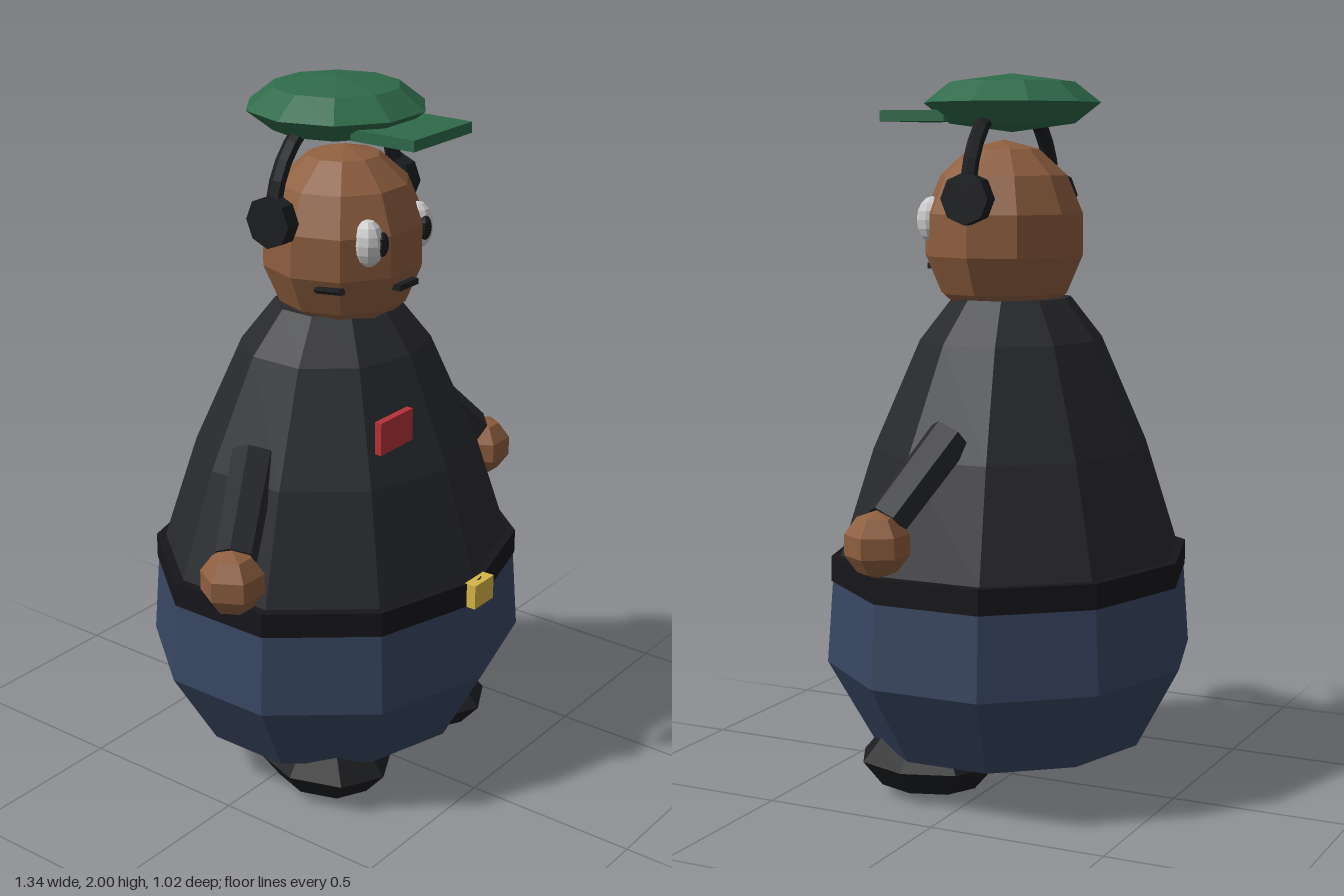
import * as THREE from 'three';

const COLORS = {
  green: 0x2f6b4a, skin: 0x8f5f40, shirt: 0x28292d, pants: 0x384661, belt: 0x17171b,
  black: 0x1c1d20, gold: 0xd8b548, red: 0xb5323a, white: 0xe8e8e8,
};
const materials = {};
for (const [key, color] of Object.entries(COLORS)) {
  materials[key] = new THREE.MeshStandardMaterial({ color, flatShading: true });
}

export function createModel() {
  const model = new THREE.Group();

  const add = (name, geometry, color, position = [0, 0, 0]) => {
    const mesh = new THREE.Mesh(geometry, materials[color]);
    mesh.name = name;
    mesh.position.set(...position);
    model.add(mesh);
    return mesh;
  };
  const box = (name, color, size, position) =>
    add(name, new THREE.BoxGeometry(...size), color, position);
  const ball = (name, color, radii, position, w, h) =>
    add(name, new THREE.SphereGeometry(1, w, h).scale(...radii), color, position);
  // Ten-sided body section, slightly flattened front to back
  const section = (name, color, profile) =>
    add(name, new THREE.LatheGeometry(profile.map(([r, y]) => new THREE.Vector2(r, y)), 10)
      .scale(1, 1, 0.9), color);
  // Straight rod between two points
  const rod = (name, color, from, to, r0, r1, sides) => {
    const a = new THREE.Vector3(...from), b = new THREE.Vector3(...to);
    const dir = b.clone().sub(a);
    const mesh = add(name, new THREE.CylinderGeometry(r1, r0, dir.length(), sides), color);
    mesh.position.copy(a).add(b).multiplyScalar(0.5);
    mesh.quaternion.setFromUnitVectors(new THREE.Vector3(0, 1, 0), dir.normalize());
    return mesh;
  };

  // Body
  section('pants', 'pants', [[0, 0.14], [0.43, 0.14], [0.567, 0.37], [0.547, 0.62], [0, 0.62]]);
  section('belt', 'belt', [[0, 0.6], [0.553, 0.6], [0.553, 0.67], [0, 0.67]]);
  section('shirt', 'shirt', [[0, 0.62], [0.535, 0.64], [0.525, 0.67], [0.422, 0.97],
    [0.28, 1.27], [0.182, 1.385], [0, 1.385]]);
  box('buckle', 'gold', [0.09, 0.07, 0.035], [0, 0.635, 0.495]);
  box('badge', 'red', [0.14, 0.09, 0.02], [-0.215, 1.145, 0.355]);

  // Head and face
  ball('head', 'skin', [0.236, 0.26, 0.226], [0, 1.56, 0.025], 10, 7);
  box('mouth', 'black', [0.085, 0.016, 0.025], [0, 1.468, 0.232]);

  // Cap
  ball('cap', 'green', [0.247, 0.08, 0.247], [0, 1.92, 0], 10, 4);
  box('visor', 'green', [0.26, 0.03, 0.2], [0, 1.885, 0.245]);

  // Headset
  add('headband', new THREE.TorusGeometry(0.27, 0.022, 6, 16, Math.PI), 'black', [0, 1.66, 0]);
  rod('microphone', 'black', [-0.2, 1.475, 0.09], [-0.302, 1.528, 0.25], 0.01, 0.01, 6);

  // Mirrored parts
  for (const [side, s] of [['left', 1], ['right', -1]]) {
    ball(side + 'Eye', 'white', [0.042, 0.065, 0.045], [s * 0.112, 1.6, 0.19], 10, 8);
    ball(side + 'Pupil', 'black', [0.022, 0.034, 0.015], [s * 0.097, 1.6, 0.226], 8, 6);
    const cup = add(side + 'EarCup', new THREE.CylinderGeometry(0.07, 0.07, 0.045, 8),
      'black', [s * 0.272, 1.663, 0]);
    cup.rotation.z = Math.PI / 2;
    rod(side + 'Arm', 'shirt', [s * 0.365, 1.04, 0.005], [s * 0.555, 0.835, 0.095], 0.062, 0.058, 6);
    ball(side + 'Hand', 'skin', [0.09, 0.09, 0.09], [s * 0.585, 0.778, 0.107], 6, 5);
    ball(side + 'Shoe', 'black', [0.165, 0.098, 0.205], [s * 0.238, 0.1, 0.145], 8, 4);
  }
  return model;
}
